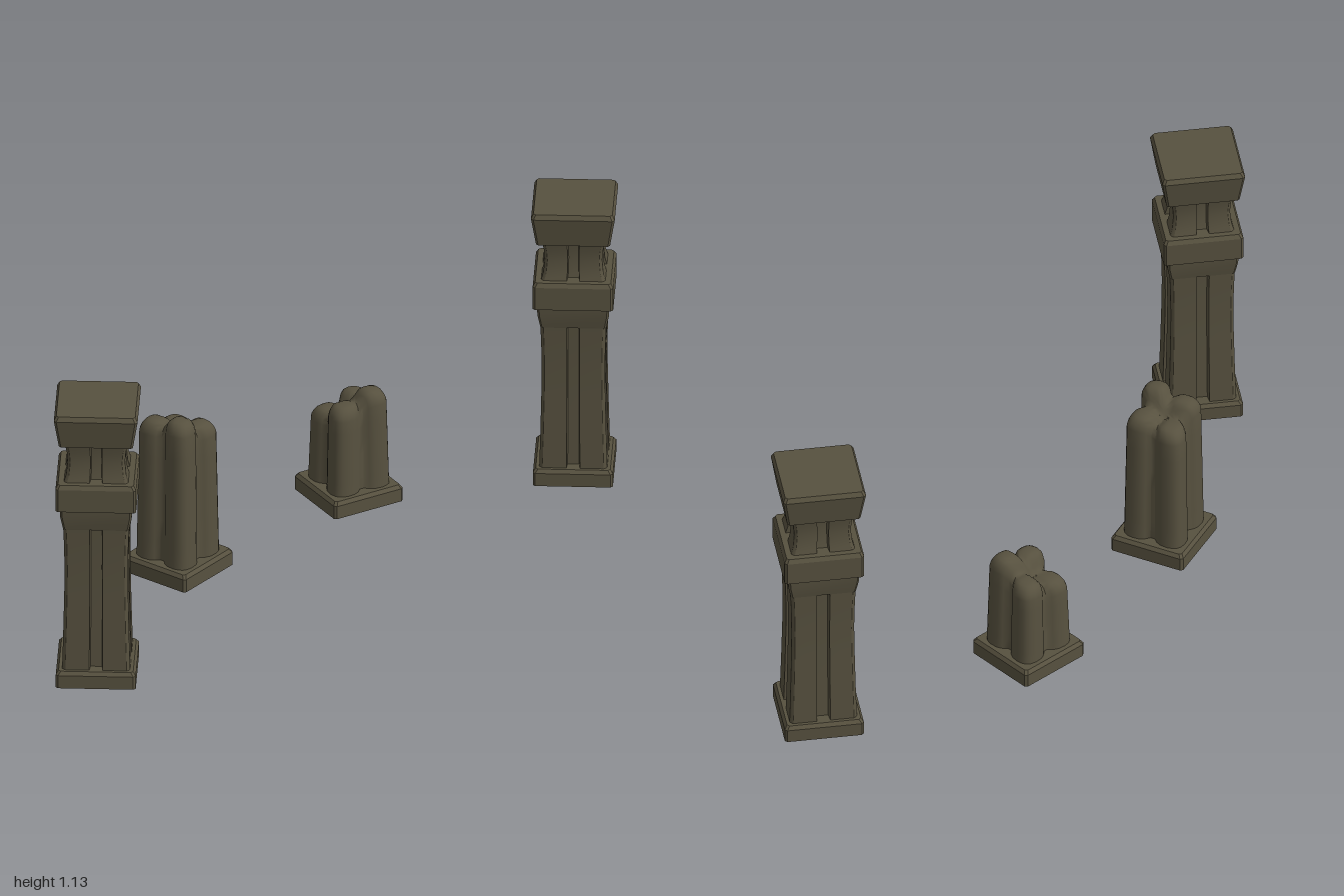
import * as THREE from 'three';
import { mergeVertices, toCreasedNormals } from 'three/addons/utils/BufferGeometryUtils.js';

// Repeat one side outline (u along the side, d outward) around four sides.
function fourSides(side) {
  const pts = [];
  for (let k = 0; k < 4; k++) {
    const c = Math.round(Math.cos(k * Math.PI / 2)), s = Math.round(Math.sin(k * Math.PI / 2));
    for (const [u, d] of side) pts.push([u * c + d * s, -u * s + d * c]);
  }
  return pts;
}

const plainSection = fourSides([[-0.97, 0.97], [-0.94, 1], [0.94, 1]]);
const flutedSection = fourSides([
  [-0.96, 0.96], [-0.9, 1], [-0.2, 1], [-0.17, 0.74], [0.17, 0.74], [0.2, 1], [0.9, 1],
]);
const wornSection = fourSides([
  [-0.89, 0.89], [-0.78, 0.96], [-0.6, 1], [-0.36, 0.98], [-0.2, 0.9], [-0.07, 0.77],
  [0.07, 0.77], [0.2, 0.9], [0.36, 0.98], [0.6, 1], [0.78, 0.96],
]);

// Skin a stack of rings (bottom to top) and close both ends.
function skin(rings, crease) {
  const n = rings[0].length, pos = [], idx = [];
  for (const ring of rings) for (const p of ring) pos.push(...p);
  for (let r = 0; r < rings.length - 1; r++) {
    for (let i = 0; i < n; i++) {
      const a = r * n + i, b = r * n + (i + 1) % n;
      idx.push(a, b, b + n, a, b + n, a + n);
    }
  }
  for (const r of [0, rings.length - 1]) {
    const centre = pos.length / 3, ys = rings[r].map((p) => p[1]);
    pos.push(0, ys.reduce((s, y) => s + y, 0) / n, 0);
    for (let i = 0; i < n; i++) {
      const a = r * n + i, b = r * n + (i + 1) % n;
      idx.push(centre, r ? a : b, r ? b : a);
    }
  }
  const geo = new THREE.BufferGeometry();
  geo.setAttribute('position', new THREE.Float32BufferAttribute(pos, 3));
  geo.setIndex(idx);
  return toCreasedNormals(mergeVertices(geo), crease);
}

// Profile rows are [half width, y].
const loft = (section, profile) =>
  skin(profile.map(([h, y]) => section.map(([x, z]) => [x * h, y, z * h])), 0.5);

// Broken stump: four worn lobes, each with its own height.
function stump(lobes) {
  const top = (x, z) => {
    let sum = 0, weight = 0;
    for (const [lx, lz, h] of lobes) {
      const w = Math.exp(-((x - lx * 0.065) ** 2 + (z - lz * 0.065) ** 2) / 0.0022);
      sum += w * h;
      weight += w;
    }
    const valley = Math.exp(-((x / 0.02) ** 2)) + Math.exp(-((z / 0.02) ** 2));
    return sum / weight - 0.022 * Math.min(valley, 1.2);
  };
  const rings = [];
  // side walls
  for (let i = 0; i <= 6; i++) {
    const t = i / 6, half = 0.122 - 0.008 * t;
    rings.push(wornSection.map(([x, z]) => {
      const px = x * half, pz = z * half;
      return [px, 0.06 + t * (top(px, pz) - 0.05 - 0.06), pz];
    }));
  }
  // rounded, lumpy top
  for (const s of [0.98, 0.94, 0.87, 0.78, 0.66, 0.53, 0.4, 0.27, 0.14, 0.04]) {
    rings.push(wornSection.map(([x, z]) => {
      const px = x * s * 0.114, pz = z * s * 0.114;
      return [px, top(px, pz) - 0.045 * s ** 9, pz];
    }));
  }
  return skin(rings, 1.1);
}

export function createModel() {
  const model = new THREE.Group();
  model.name = 'ruinedPillars';
  const stone = new THREE.MeshStandardMaterial({ color: 0x57513f });
  stone.name = 'darkStone';

  const add = (parent, name, geometry) => {
    const mesh = new THREE.Mesh(geometry, stone);
    mesh.name = name;
    parent.add(mesh);
  };
  const place = (name, x, z, turn) => {
    const group = new THREE.Group();
    group.name = name;
    group.position.set(x, 0, z);
    group.rotation.y = turn;
    model.add(group);
    return group;
  };

  const plinth = loft(plainSection, [[0.148, 0], [0.148, 0.052], [0.138, 0.066]]);
  const pillarParts = {
    plinth,
    flutedShaft: loft(flutedSection, [
      [0.126, 0.06], [0.122, 0.2], [0.118, 0.38], [0.117, 0.48], [0.119, 0.58], [0.122, 0.652],
    ]),
    collar: loft(plainSection, [[0.122, 0.648], [0.132, 0.7], [0.134, 0.74]]),
    band: loft(plainSection, [[0.149, 0.735], [0.149, 0.826], [0.14, 0.842]]),
    flutedNeck: loft(flutedSection, [
      [0.12, 0.838], [0.111, 0.87], [0.106, 0.92], [0.109, 0.96], [0.117, 1.002],
    ]),
    capital: loft(plainSection, [[0.137, 0.998], [0.155, 1.112], [0.146, 1.13]]),
  };

  // whole pillars at opposite corners
  for (const [name, s] of [['frontRightPillar', -1], ['backLeftPillar', 1]]) {
    const pillar = place(name, 0.845 * s, -0.845 * s, 0);
    for (const [part, geometry] of Object.entries(pillarParts)) add(pillar, part, geometry);
  }

  // broken pillars between them
  const tall = place('tallBrokenPillar', -0.585, 0.008, -0.615);
  add(tall, 'plinth', plinth);
  add(tall, 'brokenShaft', stump([[1, 1, 0.66], [-1, 1, 0.63], [1, -1, 0.605], [-1, -1, 0.585]]));

  const short = place('shortBrokenPillar', 0.02, -0.6, 0.588);
  add(short, 'plinth', plinth);
  add(short, 'brokenShaft', stump([[1, 1, 0.455], [-1, 1, 0.42], [1, -1, 0.4], [-1, -1, 0.36]]));

  return model;
}
